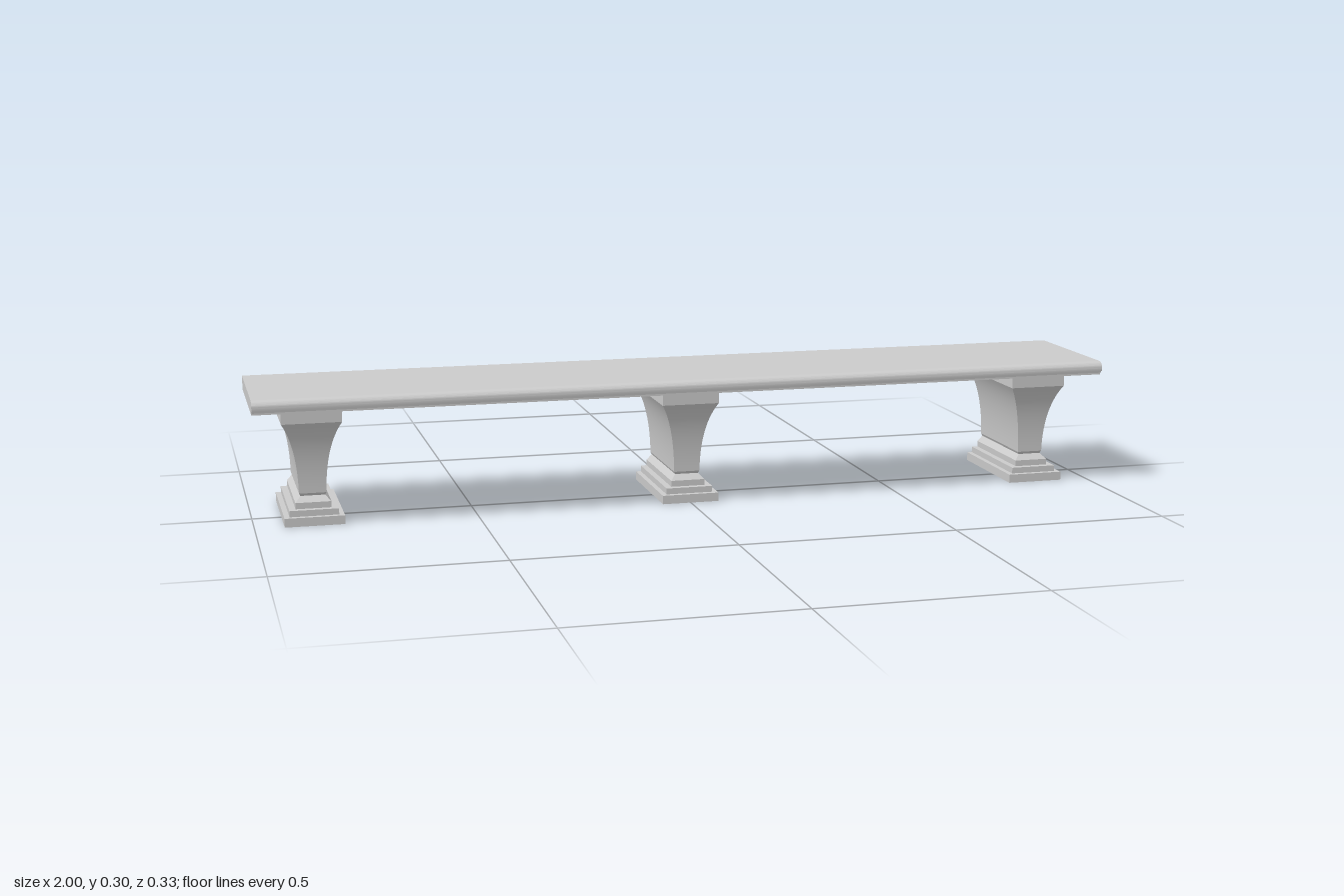
import * as THREE from 'three';
import { toCreasedNormals } from 'three/addons/utils/BufferGeometryUtils.js';

const BACK = -0.167;
const material = new THREE.MeshStandardMaterial({ color: 0xcccccc, side: THREE.DoubleSide });

// Sheet through rows of [x, y, z] points, rows running top to bottom, points left to right
function sheet(rows) {
  const n = rows[0].length, index = [];
  for (let r = 0; r < rows.length - 1; r++) {
    for (let c = 0; c < n - 1; c++) {
      const a = r * n + c, b = a + n;
      index.push(a, b, b + 1, a, b + 1, a + 1);
    }
  }
  const geometry = new THREE.BufferGeometry();
  geometry.setAttribute('position', new THREE.Float32BufferAttribute(rows.flat(2), 3));
  geometry.setIndex(index);
  return toCreasedNormals(geometry, 0.4);
}

function addMesh(parent, geometry, name) {
  const mesh = new THREE.Mesh(geometry, material);
  mesh.name = name;
  parent.add(mesh);
  return mesh;
}

// Shelf board: moulded front edge, open at the back, flat end caps
function createShelf() {
  const shelf = new THREE.Group();
  shelf.name = 'shelf';
  const nose = new THREE.QuadraticBezierCurve(
    new THREE.Vector2(0.147, 0.3), new THREE.Vector2(0.168, 0.301), new THREE.Vector2(0.168, 0.284)
  ).getPoints(8).map((p) => [p.x, Math.min(p.y, 0.3)]);
  const profile = [
    [BACK, 0.3], ...nose,
    [0.167, 0.278], [0.163, 0.278], [0.162, 0.273], [0.157, 0.273], [0.157, 0.268],
    [BACK, 0.268],
  ];
  addMesh(shelf, sheet(profile.map(([z, y]) => [[-1, y, z], [1, y, z]])), 'shelfBoard');

  const outline = new THREE.Shape(profile.map(([z, y]) => new THREE.Vector2(z, y)));
  const cap = new THREE.ShapeGeometry(outline).rotateY(-Math.PI / 2);
  for (const side of [-1, 1]) addMesh(shelf, cap, side > 0 ? 'leftEnd' : 'rightEnd').position.x = side;
  return shelf;
}

// Hollow bracket leg: one profile mitred around the front and both sides
function createLegGeometry() {
  const flare = new THREE.QuadraticBezierCurve(
    new THREE.Vector2(0.1, 0.233), new THREE.Vector2(0.065, 0.175), new THREE.Vector2(0.0635, 0.067)
  ).getPoints(14).map((p) => [p.x, p.y]);
  const profile = [
    [0.1, 0.268], ...flare,
    [0.0605, 0.061], [0.073, 0.048],
    [0.073, 0.034], [0.088, 0.034],
    [0.088, 0.02], [0.1, 0.02], [0.1, 0],
  ];
  return sheet(profile.map(([z, y]) => {
    const w = z - 0.033;
    return [[-w, y, BACK], [-w, y, z], [w, y, z], [w, y, BACK]];
  }));
}

export function createModel() {
  const model = new THREE.Group();
  model.name = 'wallShelf';
  model.add(createShelf());
  const legGeometry = createLegGeometry();
  ['rightLeg', 'middleLeg', 'leftLeg'].forEach((name, i) => {
    addMesh(model, legGeometry, name).position.x = (i - 1) * 0.867;
  });
  return model;
}
